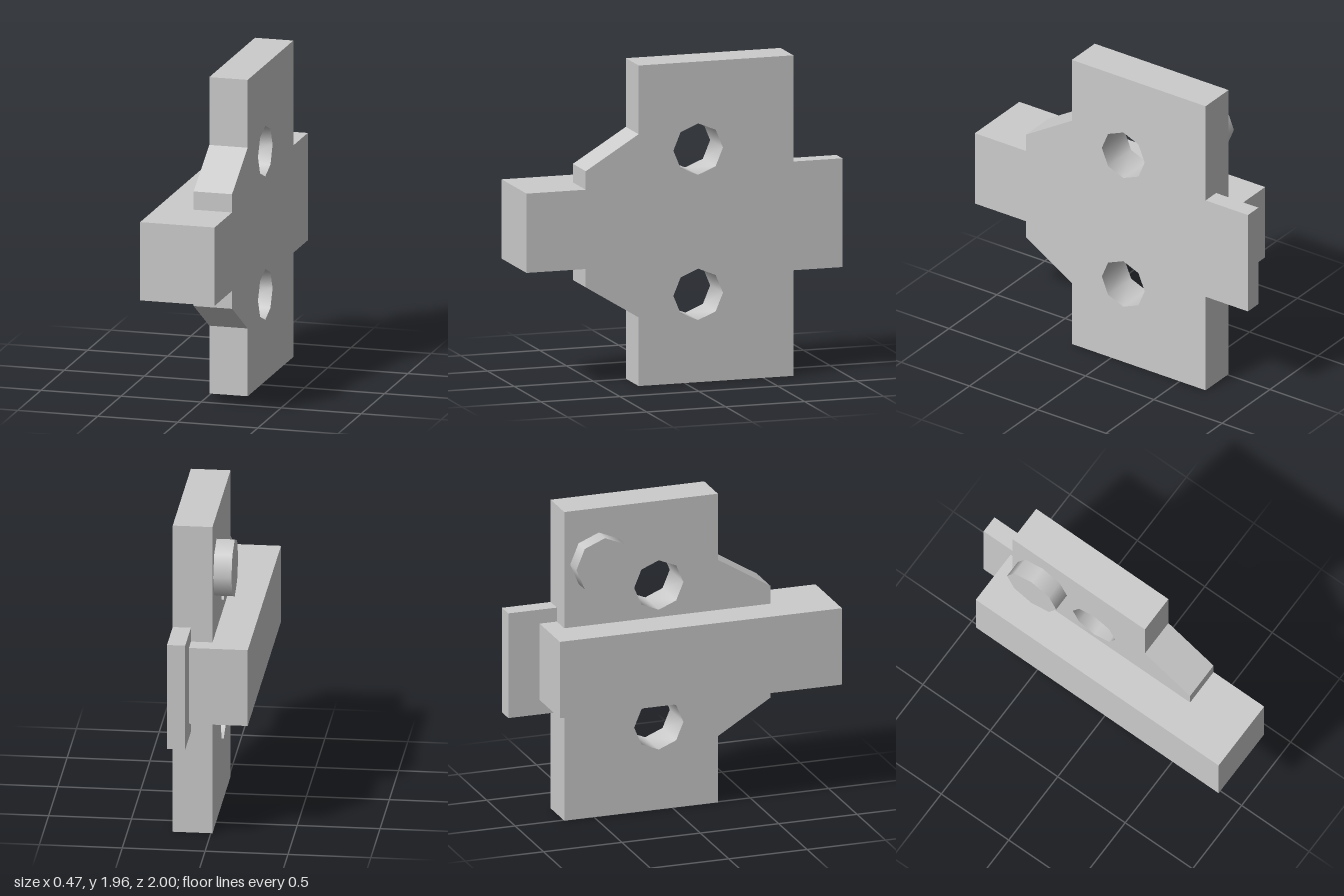
import * as THREE from 'three';
import { toCreasedNormals } from 'three/addons/utils/BufferGeometryUtils.js';

const material = new THREE.MeshStandardMaterial({ color: 0xcccccc });
const toPoints = (list) => list.map(([a, b]) => new THREE.Vector2(a, b));

export function createModel() {
  const group = new THREE.Group();
  const add = (name, geometry) => {
    const mesh = new THREE.Mesh(geometry, material);
    mesh.name = name;
    group.add(mesh);
    return mesh;
  };

  // Upright plate, drawn as (-z, y) and extruded along x
  const outline = new THREE.Shape(toPoints([
    [-0.29, 0], [0.69, 0], [0.69, 1.96], [-0.29, 1.96],
    [-0.29, 1.54], [-0.625, 1.335], [-0.625, 0.625], [-0.29, 0.42],
  ]));
  // Two octagonal through holes
  for (const y of [0.537, 1.425]) {
    const ring = [];
    for (let i = 0; i < 8; i++) {
      const a = (-i * Math.PI) / 4;
      ring.push([0.087 + 0.157 * Math.cos(a), y + 0.157 * Math.sin(a)]);
    }
    outline.holes.push(new THREE.Path(toPoints(ring)));
  }
  const plate = new THREE.ExtrudeGeometry(outline, { depth: 0.24, bevelEnabled: false });
  plate.rotateY(Math.PI / 2).translate(-0.01, 0, 0);
  // The crease angle smooths the hole walls and keeps the outline sharp
  add('plate', toCreasedNormals(plate, 0.87));

  // Cross bar, drawn in plan as (x, z) and wrapped around both ends of the plate
  const plan = new THREE.Shape(toPoints([
    [-0.235, -0.8], [0.12, -0.8], [0.12, -0.69], [-0.01, -0.69],
    [-0.01, 0.625], [0.23, 0.625], [0.23, 1], [-0.235, 1],
  ]));
  const bar = new THREE.ExtrudeGeometry(plan, { depth: 0.485, bevelEnabled: false });
  bar.rotateX(Math.PI / 2).translate(0, 1.222, 0);
  add('crossBar', bar);

  // Thin tab at the back
  add('backTab', new THREE.BoxGeometry(0.11, 0.665, 0.31)).position.set(0.175, 0.978, -0.845);

  // Round boss on the side of the plate
  const boss = new THREE.CylinderGeometry(0.182, 0.182, 0.11, 8);
  boss.rotateZ(Math.PI / 2);
  add('boss', boss).position.set(-0.065, 1.622, -0.47);

  return group;
}
